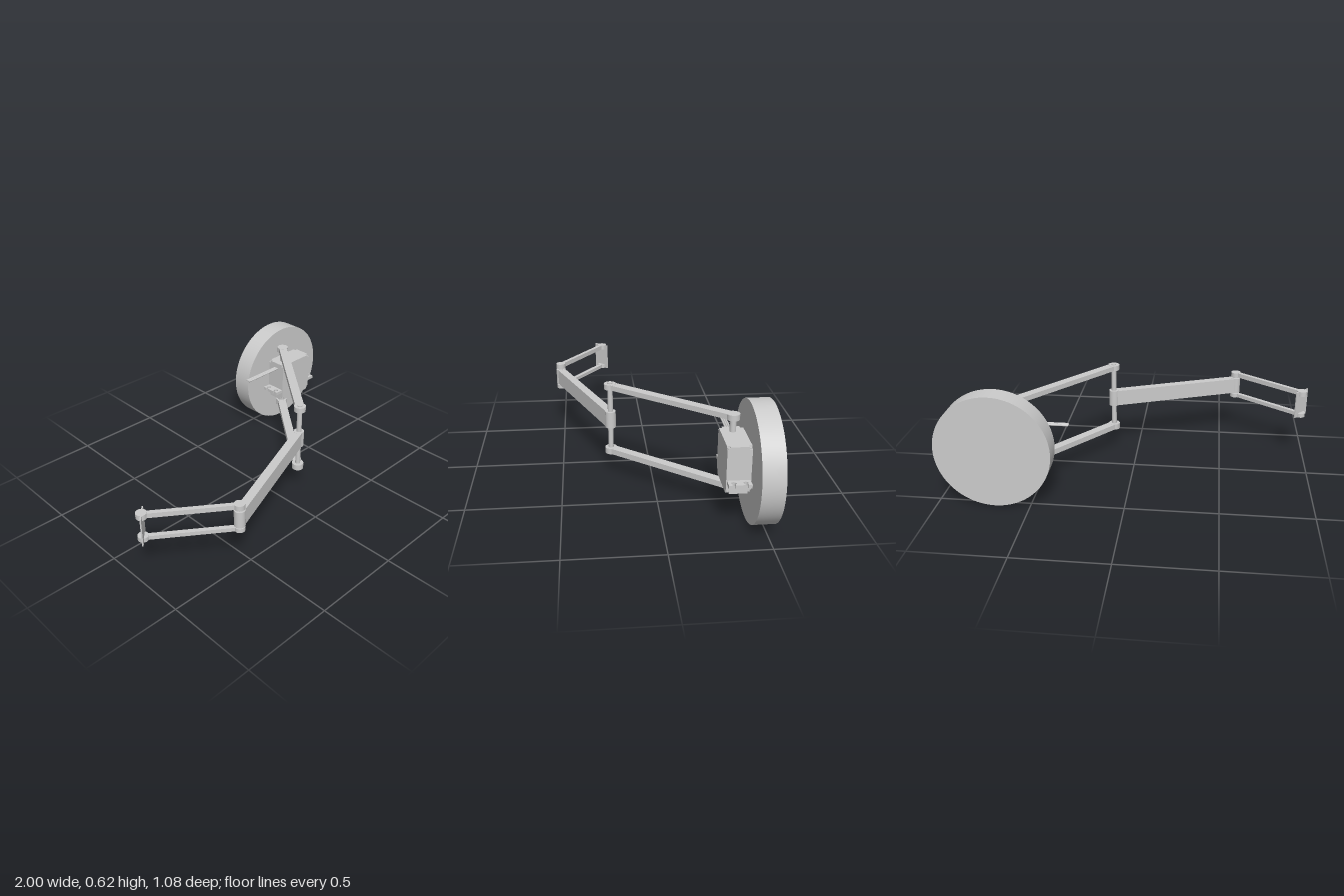
import * as THREE from 'three';

export function createModel() {
  const model = new THREE.Group();
  const mat = new THREE.MeshStandardMaterial({ color: 0xcccccc });

  const add = (name, geo, parent = model) => {
    const mesh = new THREE.Mesh(geo, mat);
    mesh.name = name;
    parent.add(mesh);
    return mesh;
  };
  // Upright cylinder at a joint [x, z], between two heights
  const post = (name, [x, z], y0, y1, r, parent = model, segs = 32) => {
    const geo = new THREE.CylinderGeometry(r, r, y1 - y0, segs);
    geo.translate(x, (y0 + y1) / 2, z);
    return add(name, geo, parent);
  };
  // Straight bar between two joints, with a round knuckle at each end
  const link = (name, a, b, y0, y1, width, r) => {
    const g = new THREE.Group();
    g.name = name;
    const dx = b[0] - a[0], dz = b[1] - a[1];
    const geo = new THREE.BoxGeometry(Math.hypot(dx, dz), y1 - y0 - 0.002, width);
    geo.rotateY(-Math.atan2(dz, dx));
    geo.translate((a[0] + b[0]) / 2, (y0 + y1) / 2, (a[1] + b[1]) / 2);
    add(name + 'Bar', geo, g);
    for (const p of [a, b]) post(name + 'Knuckle', p, y0, y1, r, g);
    model.add(g);
  };
  // Plan outline extruded upward
  const slab = (shape, y0, y1) => {
    const geo = new THREE.ExtrudeGeometry(shape, { depth: y1 - y0, bevelEnabled: false, curveSegments: 12 });
    geo.rotateX(-Math.PI / 2);
    geo.translate(0, y0, 0);
    return geo;
  };

  const shoulder = [0.62, -0.36], elbow = [0.145, 0.225];
  const wrist = [-0.585, 0.51], tip = [-0.965, 0.237];

  // Base disc, standing on its rim
  const disc = new THREE.CylinderGeometry(0.312, 0.312, 0.115, 96);
  disc.rotateX(Math.PI / 2);
  disc.translate(0.688, 0.314, -0.483);
  add('baseDisc', disc);

  // Three arm segments: paired, single, paired
  link('upperArmTop', shoulder, elbow, 0.513, 0.543, 0.05, 0.033);
  link('upperArmBottom', shoulder, elbow, 0.132, 0.166, 0.05, 0.033);
  link('middleArm', elbow, wrist, 0.287, 0.381, 0.048, 0.029);
  link('forearmTop', wrist, tip, 0.389, 0.418, 0.024, 0.028);
  link('forearmBottom', wrist, tip, 0.257, 0.281, 0.024, 0.028);

  // Joint pins
  post('elbowPin', elbow, 0.134, 0.549, 0.0145);
  post('wristPin', wrist, 0.259, 0.417, 0.0145);
  post('shoulderPin', shoulder, 0.445, 0.515, 0.016);

  // Thin plate at the tip
  const plate = new THREE.BoxGeometry(0.104, 0.161, 0.007);
  plate.rotateY(0.82);
  plate.translate(-0.965, 0.3375, 0.24);
  add('tipPlate', plate);

  // Servo motor
  const servo = new THREE.Group();
  servo.name = 'servoMotor';
  servo.position.set(0.685, 0, -0.36);
  model.add(servo);
  const hx = 0.122, hz = 0.061;

  // Outline with a square notch at each corner
  const notched = (n) => {
    const s = new THREE.Shape();
    [[hx, -hz + n], [hx, hz - n], [hx - n, hz - n], [hx - n, hz], [-hx + n, hz], [-hx + n, hz - n],
      [-hx, hz - n], [-hx, -hz + n], [-hx + n, -hz + n], [-hx + n, -hz], [hx - n, -hz], [hx - n, -hz + n]]
      .forEach(([x, y], i) => (i ? s.lineTo(x, y) : s.moveTo(x, y)));
    return s;
  };
  const body = new THREE.BoxGeometry(hx * 2, 0.215, hz * 2);
  body.translate(0, 0.3275, 0);
  add('servoCase', body, servo);
  add('servoTopCap', slab(notched(0.016), 0.434, 0.448), servo);
  add('servoBottomCap', slab(notched(0.016), 0.2, 0.221), servo);
  for (const sx of [-1, 1]) for (const sz of [-1, 1]) {
    const p = [sx * (hx - 0.01), sz * (hz - 0.01)];
    post('topScrew', p, 0.434, 0.442, 0.008, servo, 16);
    post('bottomScrew', p, 0.208, 0.222, 0.008, servo, 16);
  }

  // Mounting flange with two open slots at each end
  const fx = 0.173, fz = 0.057, r = 0.012, slotZ = 0.03, cx = fx - 0.022;
  const flange = new THREE.Shape();
  flange.moveTo(-fx, -fz);
  flange.lineTo(fx, -fz);
  for (const z of [-slotZ, slotZ]) {
    flange.lineTo(fx, z - r * 0.6);
    flange.absarc(cx, z, r, -0.64, 0.64, true);
    flange.lineTo(fx, z + r * 0.6);
  }
  flange.lineTo(fx, fz);
  flange.lineTo(-fx, fz);
  for (const z of [slotZ, -slotZ]) {
    flange.lineTo(-fx, z + r * 0.6);
    flange.absarc(-cx, z, r, Math.PI - 0.64, Math.PI + 0.64, true);
    flange.lineTo(-fx, z - r * 0.6);
  }
  add('mountingFlange', slab(flange, 0.254, 0.273), servo);

  // Small gusset under each flange end
  for (const s of [-1, 1]) {
    const tri = new THREE.Shape();
    tri.moveTo(s * hx, 0.242);
    tri.lineTo(s * 0.165, 0.255);
    tri.lineTo(s * hx, 0.255);
    const geo = new THREE.ExtrudeGeometry(tri, { depth: 0.012, bevelEnabled: false });
    geo.translate(0, 0, -0.006);
    add('flangeGusset', geo, servo);
  }

  // Output shaft below the case
  post('outputBoss', [-0.065, 0], 0.188, 0.202, 0.036, servo);
  post('outputShaft', [-0.065, 0], 0.16, 0.19, 0.019, servo, 24);

  // Flat three-wire cable
  for (const i of [-1, 0, 1]) {
    const wire = new THREE.CylinderGeometry(0.0052, 0.0052, 0.256, 12);
    wire.rotateZ(Math.PI / 2);
    wire.translate(-0.246, 0.412, i * 0.0104);
    add('cableWire', wire, servo);
  }

  return model;
}
